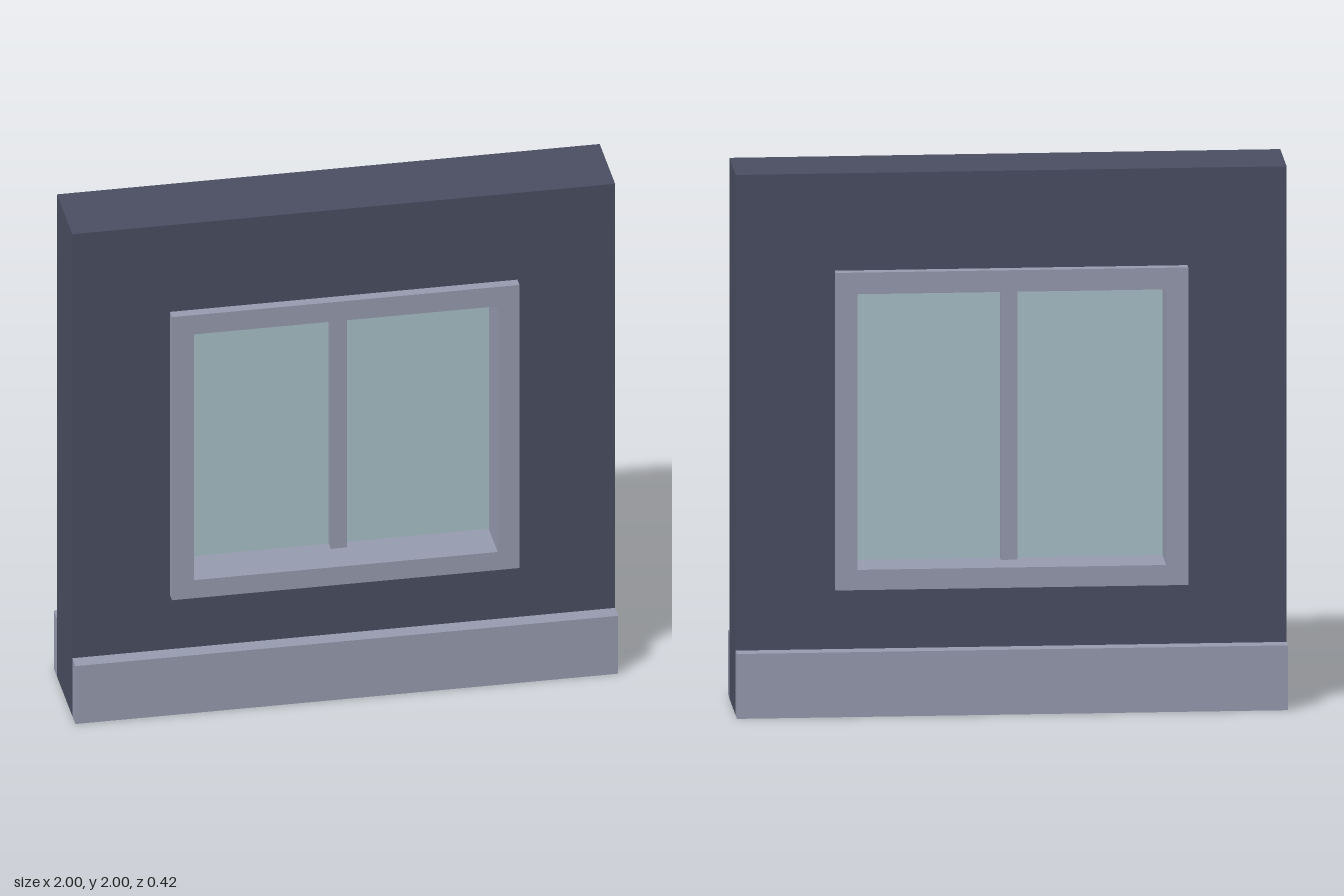
import * as THREE from 'three';

const wallMat = new THREE.MeshStandardMaterial({ name: 'dark slate wall', color: 0x4a4e62 });
const trimMat = new THREE.MeshStandardMaterial({ name: 'grey trim', color: 0x989cb0 });
const glassMat = new THREE.MeshStandardMaterial({ name: 'pale glass', color: 0xa9c2ca });

// Rectangle outline as [left, bottom, right, top]
const outline = (Type, [l, b, r, t]) =>
  new Type([[l, b], [r, b], [r, t], [l, t]].map(([x, y]) => new THREE.Vector2(x, y)));

// Rectangular slab with a rectangular opening, centred on z = 0
function ring(name, outer, inner, depth, material) {
  const shape = outline(THREE.Shape, outer);
  shape.holes.push(outline(THREE.Path, inner));
  const geometry = new THREE.ExtrudeGeometry(shape, { depth, bevelEnabled: false });
  geometry.translate(0, 0, -depth / 2);
  const mesh = new THREE.Mesh(geometry, material);
  mesh.name = name;
  return mesh;
}

function box(name, size, position, material) {
  const mesh = new THREE.Mesh(new THREE.BoxGeometry(...size), material);
  mesh.name = name;
  mesh.position.set(...position);
  return mesh;
}

export function createModel() {
  const model = new THREE.Group();
  model.name = 'windowWall';

  const frameOuter = [-0.64, 0.465, 0.64, 1.64];
  const frameInner = [-0.56, 0.54, 0.56, 1.56];
  const opening = [-0.6, 0.5, 0.6, 1.6];

  // Wall, with the frame lining its opening and standing proud on both faces
  model.add(ring('wall', [-1, 0, 1, 2], opening, 0.3, wallMat));
  model.add(ring('windowFrame', frameOuter, frameInner, 0.38, trimMat));

  // Glazing and central mullion
  model.add(box('glassPane', [1.12, 1.02, 0.03], [0, 1.05, 0], glassMat));
  model.add(box('mullion', [0.06, 1.02, 0.11], [0, 1.05, 0], trimMat));

  // Base boards on the front and back
  for (const [name, side] of [['frontBaseboard', 1], ['backBaseboard', -1]]) {
    model.add(box(name, [2, 0.24, 0.06], [0, 0.12, side * 0.18], trimMat));
  }
  return model;
}
